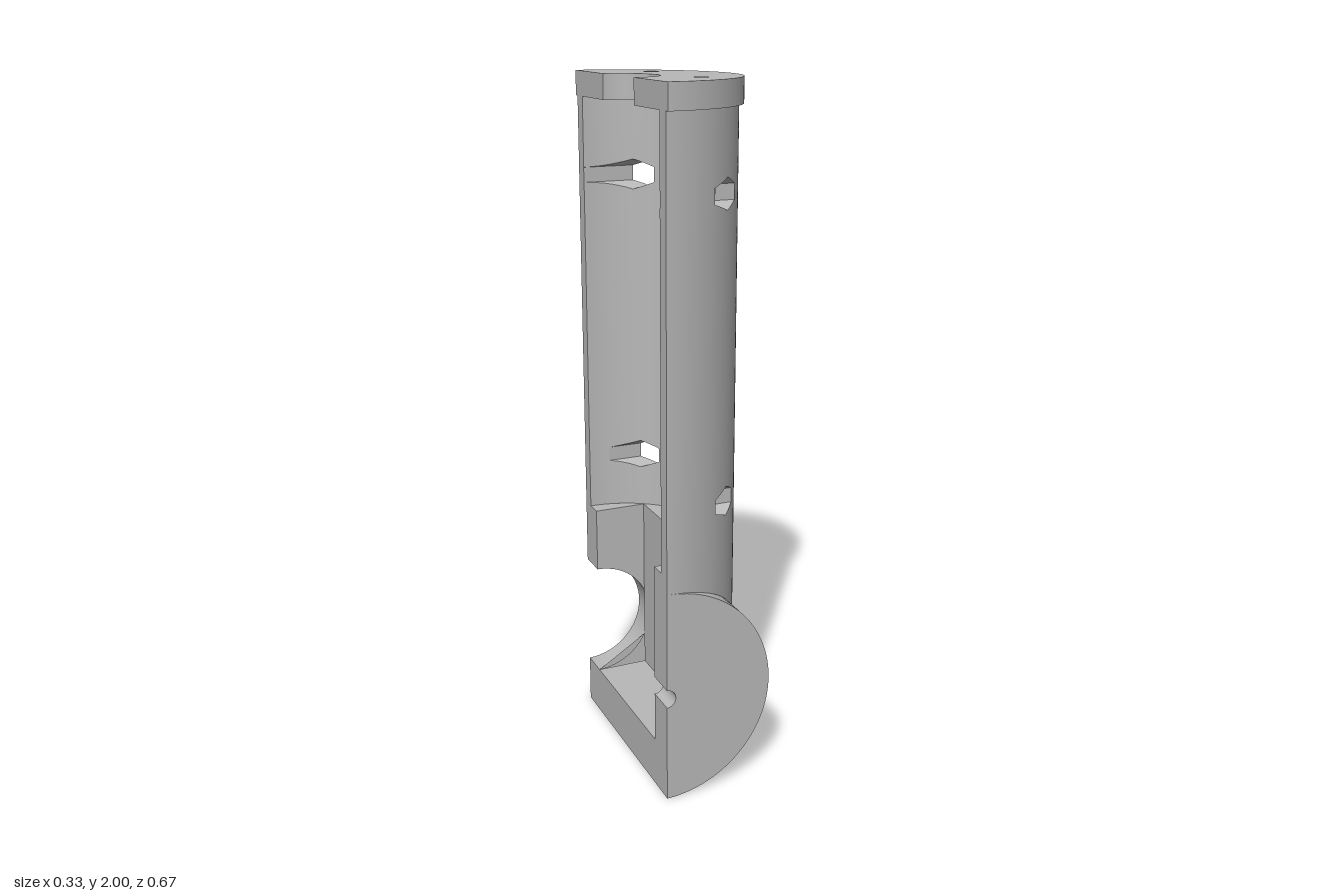
import * as THREE from 'three';
import { toCreasedNormals } from 'three/addons/utils/BufferGeometryUtils.js';

const R = 0.32, RI = 0.28;                    // outer and inner tube radius
const AXIS_Y = 0.32, FLOOR = 0.69, TOP = 1.93; // cross axis, chamber floor, tube top
const PX = 0.157, PZ = 0.23, PY = 0.145;      // pocket depth, half length, floor
const BORE = 0.175, NOTCH = 0.027;
const HEX_R = 0.043, HEX_W = 0.037;
const HOLES = [{ y: 0.855, z: 0.236 }, { y: 1.71, z: 0.244 }];

export function createModel() {
  const grey = new THREE.MeshStandardMaterial({ color: 0xb8b8b8, side: THREE.DoubleSide });
  grey.name = 'plain grey';
  const root = new THREE.Group();
  root.name = 'halfHousing';
  const body = new THREE.Group();
  body.name = 'shell';
  body.position.x = -0.167;                   // parts are built with the cut plane at x = 0
  root.add(body);

  const add = (name, geo) => {
    const m = new THREE.Mesh(geo, grey);
    m.name = name;
    body.add(m);
    return m;
  };
  const quads = () => {
    const p = [];
    return {
      quad: (a, b, c, d) => p.push(...a, ...b, ...c, ...a, ...c, ...d),
      build: () => {
        const g = new THREE.BufferGeometry();
        g.setAttribute('position', new THREE.Float32BufferAttribute(p, 3));
        return toCreasedNormals(g, 0.6);
      },
    };
  };
  const circleX = (r, z) => Math.sqrt(Math.max(0, r * r - z * z));

  // Upright half tube, made of vertical columns that split around the hex holes
  const zs = [];
  for (let i = 0; i <= 48; i++) {
    const s = Math.sin(-Math.PI / 2 + (Math.PI * i) / 48);
    zs.push(R * s, RI * s);
  }
  for (const h of HOLES) for (const s of [-1, 1]) for (const d of [-HEX_W, 0, HEX_W]) zs.push(s * h.z + d);
  zs.sort((a, b) => a - b);
  const outer = quads(), inner = quads(), lining = quads();
  const strip = (q, r, z0, z1, low, high) => q.quad(
    [circleX(r, z1), low(z1), z1], [circleX(r, z0), low(z0), z0],
    [circleX(r, z0), high(z0), z0], [circleX(r, z1), high(z1), z1]);
  for (let i = 0; i + 1 < zs.length; i++) {
    const z0 = zs[i], z1 = zs[i + 1], mid = (z0 + z1) / 2;
    if (z1 - z0 < 1e-6) continue;
    let lowOut = z => AXIS_Y + Math.abs(z), lowIn = () => FLOOR;
    for (const h of HOLES) {
      const c = Math.sign(mid) * h.z;
      if (Math.abs(mid - c) > HEX_W) continue;
      const half = z => HEX_R * (1 - (0.5 * Math.abs(z - c)) / HEX_W);
      const below = z => h.y - half(z), above = z => h.y + half(z);
      strip(outer, R, z0, z1, lowOut, below);
      strip(inner, RI, z0, z1, lowIn, below);
      for (const f of [below, above]) {
        lining.quad([circleX(RI, z0), f(z0), z0], [circleX(R, z0), f(z0), z0],
          [circleX(R, z1), f(z1), z1], [circleX(RI, z1), f(z1), z1]);
      }
      lowOut = lowIn = above;
    }
    strip(outer, R, z0, z1, lowOut, () => TOP);
    strip(inner, RI, z0, z1, lowIn, () => TOP);
  }
  // Upright sides of the hex holes
  for (const h of HOLES) for (const s of [-1, 1]) for (const d of [-HEX_W, HEX_W]) {
    const z = s * h.z + d, a = h.y - HEX_R / 2, b = h.y + HEX_R / 2;
    lining.quad([circleX(RI, z), a, z], [circleX(R, z), a, z], [circleX(R, z), b, z], [circleX(RI, z), b, z]);
  }
  add('tubeOutside', outer.build());
  add('tubeInside', inner.build());
  add('hexHoleLining', lining.build());

  // Lying half cylinder, mitred against the upright tube
  const cross = quads();
  for (let i = 0; i < 48; i++) {
    const [a, b] = [i, i + 1].map(k => {
      const t = -Math.PI / 2 + (Math.PI * k) / 48, dy = R * Math.sin(t);
      return { x: R * Math.cos(t), y: AXIS_Y + dy, z: Math.max(0, dy) };
    });
    cross.quad([a.x, a.y, R], [a.x, a.y, a.z], [b.x, b.y, b.z], [b.x, b.y, R]);
    cross.quad([a.x, a.y, -a.z], [a.x, a.y, -R], [b.x, b.y, -R], [b.x, b.y, -b.z]);
  }
  add('crossCylinder', cross.build());

  // Half ring outline, used for the end faces and the cap
  const halfRing = (ro, ri) => {
    const s = new THREE.Shape();
    s.absarc(0, 0, ro, -Math.PI / 2, Math.PI / 2, false);
    s.absarc(0, 0, ri, Math.PI / 2, -Math.PI / 2, true);
    return s;
  };
  add('frontEnd', new THREE.ShapeGeometry(halfRing(R, NOTCH), 48)).position.set(0, AXIS_Y, R);
  const back = add('backEnd', new THREE.ShapeGeometry(halfRing(R, BORE), 48).rotateY(Math.PI).scale(-1, 1, 1));
  back.position.set(0, AXIS_Y, -R);

  // Bore in the back end and notch in the front end
  const halfBore = (name, r, zc) => {
    const g = new THREE.CylinderGeometry(r, r, R - PZ, 32, 1, true, 0, Math.PI).rotateX(Math.PI / 2);
    add(name, g).position.set(0, AXIS_Y, zc);
  };
  halfBore('backBore', BORE, -(R + PZ) / 2);
  halfBore('frontNotch', NOTCH, (R + PZ) / 2);

  // Rectangular pocket
  const pocket = quads();
  pocket.quad([0, PY, PZ], [PX, PY, PZ], [PX, PY, -PZ], [0, PY, -PZ]);
  pocket.quad([PX, PY, -PZ], [PX, PY, PZ], [PX, FLOOR, PZ], [PX, FLOOR, -PZ]);
  const n = AXIS_Y - NOTCH, m = AXIS_Y + NOTCH;
  for (const [x, a, b] of [[0, PY, n], [0, m, FLOOR], [NOTCH, n, m]]) {
    pocket.quad([PX, a, PZ], [x, a, PZ], [x, b, PZ], [PX, b, PZ]);
  }
  add('pocket', pocket.build());

  // Pocket wall above and below the bore, and the step left inside the bore
  const edge = Math.acos(PX / BORE);
  const wall = new THREE.Shape();
  wall.moveTo(0, FLOOR - AXIS_Y);
  wall.lineTo(PX, FLOOR - AXIS_Y);
  wall.absarc(0, 0, BORE, edge, Math.PI / 2, false);
  const wallLow = new THREE.Shape();
  wallLow.moveTo(PX, PY - AXIS_Y);
  wallLow.absarc(0, 0, BORE, -Math.PI / 2, -edge, false);
  const step = new THREE.Shape().absarc(0, 0, BORE, -edge, edge, false);
  add('pocketBackWall', new THREE.ShapeGeometry([wall, wallLow, step], 24)).position.set(0, AXIS_Y, -PZ);

  // Chamber floor around the pocket
  const floor = new THREE.Shape();
  floor.absarc(0, 0, RI, -Math.PI / 2, Math.PI / 2, false);
  floor.lineTo(0, PZ);
  floor.lineTo(PX, PZ);
  floor.lineTo(PX, -PZ);
  floor.lineTo(0, -PZ);
  add('chamberFloor', new THREE.ShapeGeometry(floor, 32).rotateX(-Math.PI / 2)).position.y = FLOOR;

  // Flat cut face of the lower body
  const cut = quads();
  for (const [z0, z1, y0, y1] of [
    [-R, R, 0, PY], [-R, -PZ, AXIS_Y + BORE, FLOOR],
    [PZ, R, PY, n], [PZ, R, m, FLOOR],
  ]) cut.quad([0, y0, z0], [0, y0, z1], [0, y1, z1], [0, y1, z0]);
  add('cutFace', cut.build());

  // Cap with a central opening and two screw holes
  const cap = halfRing(0.333, 0.112);
  for (const s of [-1, 1]) cap.holes.push(new THREE.Path().absarc(0.165, s * 0.167, 0.022, 0, Math.PI * 2, true));
  const capGeo = new THREE.ExtrudeGeometry(cap, { depth: 2 - TOP, bevelEnabled: false, curveSegments: 40 });
  add('cap', toCreasedNormals(capGeo.rotateX(-Math.PI / 2), 0.6)).position.y = TOP;

  return root;
}
